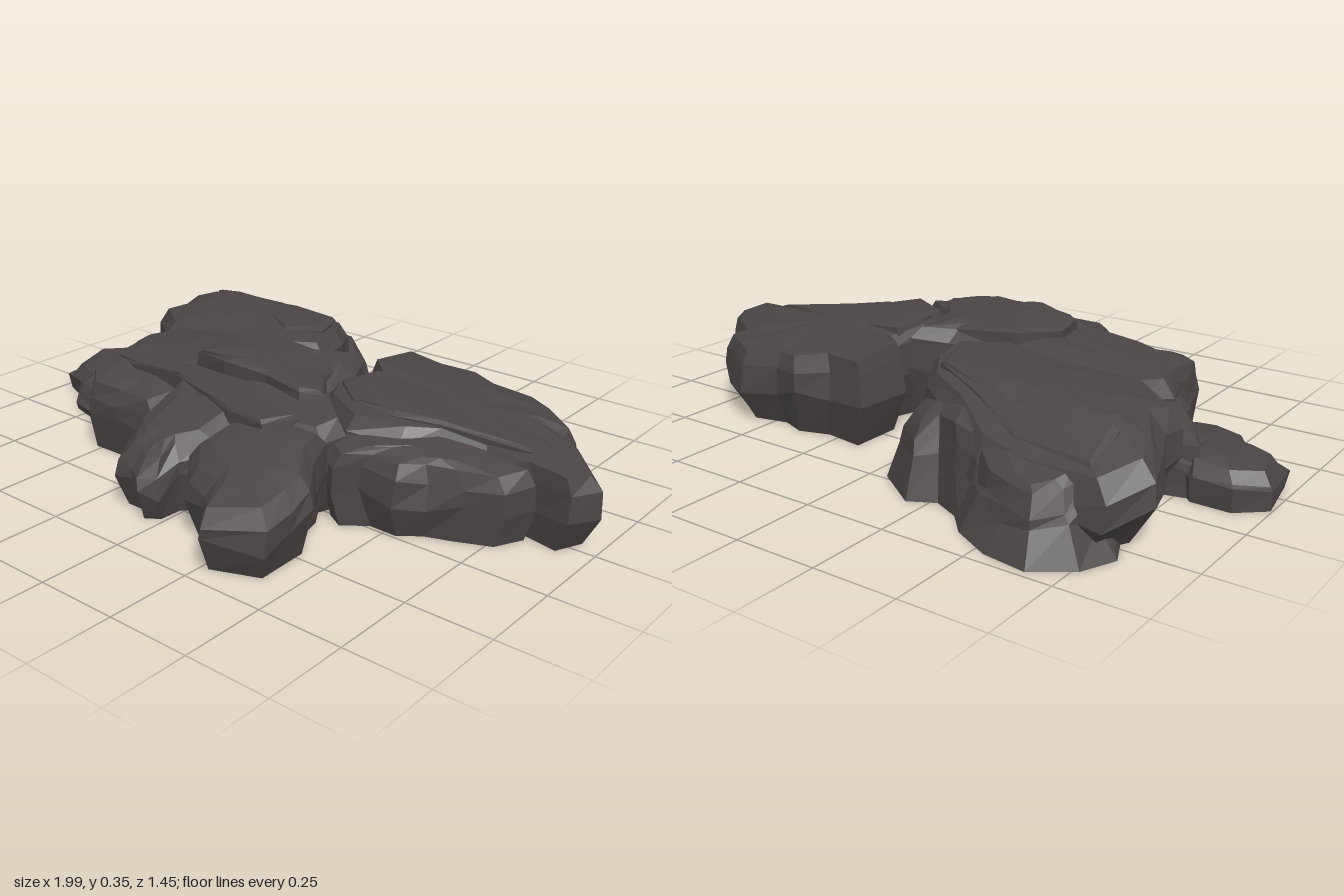
import * as THREE from 'three';

// Small repeatable wobble in the range -1..1
const wobble = (a, b) => {
  const s = Math.sin(a * 127.1 + b * 311.7) * 43758.5453;
  return (s - Math.floor(s)) * 2 - 1;
};

// Rocks: outline is a list of x,z points; each plane is a top y = h + gx*x + gz*z (the lowest one wins).
// foot insets the base (negative flares it), bevel insets the top rim, thick makes a thin layer.
const rocks = {
  backLeftSlab: {
    outline: [[-0.8, -0.61], [-0.87, -0.49], [-0.85, -0.41], [-0.77, -0.25], [-0.79, -0.18], [-0.62, -0.04],
      [-0.4, -0.06], [-0.15, -0.06], [-0.02, -0.14], [-0.04, -0.27], [-0.1, -0.39], [-0.25, -0.48],
      [-0.41, -0.59], [-0.6, -0.62]],
    planes: [[0.316, 0.04, 0], [0.475, 0, 0.45], [0.45, 0.24, 0]], foot: 0.09,
  },
  backLowRock: {
    outline: [[-0.76, -0.56], [-0.72, -0.635], [-0.64, -0.685], [-0.55, -0.665], [-0.46, -0.63], [-0.4, -0.58],
      [-0.45, -0.42], [-0.7, -0.42]],
    planes: [[0.46, 0, 0.45], [0.24, 0, 0]], foot: -0.05, bevel: 0.03,
  },
  backInnerRock: {
    outline: [[-0.4, -0.57], [-0.34, -0.56], [-0.25, -0.51], [-0.19, -0.545], [-0.08, -0.46], [-0.07, -0.36],
      [-0.03, -0.25], [0.05, -0.14], [-0.1, -0.1], [-0.35, -0.3]],
    planes: [[0.255, -0.25, 0.18], [0.475, 0, 0.45]], foot: -0.04, bevel: 0.04,
  },
  rightSlab: {
    outline: [[0.12, -0.39], [0.25, -0.38], [0.36, -0.42], [0.45, -0.395], [0.58, -0.42], [0.68, -0.36],
      [0.79, -0.28], [0.77, -0.23], [0.89, -0.14], [0.99, -0.03], [0.95, 0.06], [0.84, 0.04], [0.7, 0.06],
      [0.56, 0.1], [0.48, 0.17], [0.34, 0.22], [0.2, 0.14], [0.14, 0.02], [0.18, -0.14], [0.11, -0.21]],
    planes: [[0.315, -0.1, 0.07]], foot: 0.05, bevel: 0.035,
  },
  rightLedge: {
    outline: [[0.24, 0.12], [0.3, 0.27], [0.36, 0.31], [0.43, 0.26], [0.54, 0.27], [0.62, 0.21], [0.7, 0.17],
      [0.8, 0.12], [0.84, 0.03], [0.6, -0.02], [0.4, 0]],
    planes: [[0.29, -0.09, -0.1]], foot: 0.03, bevel: 0.03,
  },
  centreSlab: {
    outline: [[-0.66, 0.02], [-0.6, -0.08], [-0.4, -0.14], [-0.18, -0.1], [0.02, -0.12], [0.13, -0.16],
      [0.17, -0.06], [0.17, 0.07], [0.28, 0.16], [0.37, 0.23], [0.34, 0.31], [0.18, 0.36], [0.05, 0.34],
      [-0.05, 0.27], [-0.2, 0.23], [-0.38, 0.22], [-0.52, 0.17], [-0.64, 0.1]],
    planes: [[0.315, 0.015, -0.12], [0.325, 0.1, -0.06]], foot: 0.06,
  },
  frontLeftBlock: {
    outline: [[-0.62, 0.05], [-0.62, 0.18], [-0.6, 0.3], [-0.53, 0.375], [-0.4, 0.375], [-0.26, 0.37],
      [-0.23, 0.22], [-0.3, 0.1], [-0.5, 0.05]],
    planes: [[0.285, 0, -0.18]], foot: 0.02, bevel: 0.025,
  },
  frontMiddleRock: {
    outline: [[-0.24, 0.24], [-0.25, 0.45], [-0.2, 0.53], [-0.17, 0.59], [-0.1, 0.595], [-0.05, 0.63], [0, 0.6],
      [0.015, 0.52], [0.1, 0.43], [0.1, 0.28], [-0.06, 0.22]],
    planes: [[0.37, 0, -0.32]], foot: 0.03,
  },
  frontRightRock: {
    outline: [[0.02, 0.5], [0.07, 0.55], [0.1, 0.6], [0.2, 0.63], [0.28, 0.728], [0.44, 0.66], [0.445, 0.56],
      [0.445, 0.47], [0.37, 0.36], [0.34, 0.28], [0.15, 0.28], [0.05, 0.36]],
    planes: [[0.35, 0, -0.24]], foot: 0.04,
  },
  leftLowRock: {
    outline: [[-1, -0.09], [-0.92, -0.16], [-0.8, -0.16], [-0.74, -0.1], [-0.6, -0.08], [-0.56, 0.1],
      [-0.63, 0.21], [-0.7, 0.225], [-0.8, 0.2], [-0.85, 0.13], [-0.97, 0.08]],
    planes: [[0.15, 0.05, -0.1]], foot: 0.005, bevel: 0.04,
  },
  leftUpperRock: {
    outline: [[-0.82, -0.13], [-0.78, -0.03], [-0.7, 0.03], [-0.68, 0.1], [-0.55, 0.15], [-0.5, -0.05],
      [-0.66, -0.17]],
    planes: [[0.4, 0.32, 0]], foot: 0, bevel: 0.03,
  },
  // Thin weathered layers lying on the slabs
  backLeftLayer: {
    outline: [[-0.75, -0.57], [-0.5, -0.54], [-0.3, -0.43], [-0.13, -0.35], [-0.1, -0.24], [-0.2, -0.17],
      [-0.32, -0.25], [-0.55, -0.3], [-0.74, -0.43]],
    planes: [[0.325, 0.04, 0], [0.484, 0, 0.45], [0.459, 0.24, 0]], thick: 0.03,
  },
  centreLayer: {
    outline: [[-0.27, 0.06], [-0.2, -0.08], [0.02, -0.09], [0.12, -0.1], [0.15, 0.05], [0.24, 0.18], [0.18, 0.22],
      [0.04, 0.19], [-0.1, 0.22], [-0.25, 0.18]],
    planes: [[0.328, -0.11, 0.06], [0.378, 0.18, 0]], thick: 0.05,
  },
  rightLayer: {
    outline: [[0.2, -0.12], [0.45, -0.1], [0.68, -0.03], [0.8, 0], [0.55, 0.06], [0.42, 0.12], [0.3, 0.13],
      [0.19, 0.04]],
    planes: [[0.325, -0.1, 0.07]], thick: 0.03,
  },
  frontLayer: {
    outline: [[-0.6, 0.09], [-0.57, 0.21], [-0.45, 0.25], [-0.27, 0.26], [-0.1, 0.32], [0.05, 0.37], [0.2, 0.38],
      [0.25, 0.3], [0, 0.24], [-0.3, 0.15]],
    planes: [[0.285, 0, 0], [0.3, 0.08, 0]], thick: 0.05,
  },
};

const topAt = (rock, x, z) => Math.min(...rock.planes.map(([h, gx, gz]) => h + gx * x + gz * z));

// Outline moved towards its centre, counter-clockwise from above
function insetOutline({ outline }, inset) {
  const pts = outline.map(([x, z]) => new THREE.Vector2(x, z));
  if (THREE.ShapeUtils.area(pts) > 0) pts.reverse();
  const centre = pts.reduce((s, p) => s.add(p), new THREE.Vector2()).divideScalar(pts.length);
  return { centre, pts: pts.map(p => p.clone().lerp(centre, Math.min(0.45, inset / p.distanceTo(centre)))) };
}

function inside(pts, x, z) {
  let hit = false;
  pts.forEach((a, i) => {
    const b = pts[(i + 1) % pts.length];
    if (a.y > z !== b.y > z && x < a.x + (b.x - a.x) * (z - a.y) / (b.y - a.y)) hit = !hit;
  });
  return hit;
}

// Cores used to leave out faces buried in a neighbouring rock, so the outcrop is one hollow shell
const cores = Object.values(rocks).filter(rock => !rock.thick)
  .map(rock => ({ rock, pts: insetOutline(rock, Math.max(rock.foot, 0.04)).pts }));
const buried = (v, self) => cores.some(({ rock, pts }) =>
  rock !== self && v.y < topAt(rock, v.x, v.z) - 0.025 && inside(pts, v.x, v.z));

// Adds a triangle, splitting it where it is partly buried
function addFace(corners, rock, a, b, c, depth = 3) {
  const hidden = [a, b, c].filter(v => buried(v, rock)).length;
  if (hidden === 3) return;
  if (hidden === 0 || depth === 0) {
    corners.push(a, b, c);
    return;
  }
  const [ab, bc, ca] = [[a, b], [b, c], [c, a]].map(([p, q]) => p.clone().lerp(q, 0.5));
  for (const face of [[a, ab, ca], [ab, b, bc], [ca, bc, c], [ab, bc, ca]]) addFace(corners, rock, ...face, depth - 1);
}

function rockGeometry(rock) {
  const { foot, bevel = 0.045, thick } = rock;
  const seed = rock.planes[0][0];
  const dome = thick ? 0.004 : 0.01;

  // Each ring: inset towards the centre, then height as a function of the top
  const layers = thick
    ? [[0, t => t - thick], [0.005, t => t - 0.008], [0.025, t => t]]
    : [[foot, () => 0], [0, t => t * 0.5], [0.008, t => t - 0.05], [bevel, t => t - 0.008]];
  const rings = layers.map(([inset, height], k) => insetOutline(rock, inset).pts.map((p, i) => {
    const rough = k === 0 ? 0 : 0.007;
    const lift = rough * (thick ? 0.3 : k === 1 ? 4 : 1);
    return new THREE.Vector3(
      p.x + wobble(i, k + seed) * rough,
      height(topAt(rock, p.x, p.y)) + wobble(i + 9, k + seed) * lift,
      p.y + wobble(i + 5, k + seed) * rough);
  }));
  const { centre, pts } = insetOutline(rock, 0);
  rings.push(pts.map((p, i) => {
    const q = p.clone().lerp(centre, 0.5 + 0.12 * wobble(i, seed));
    return new THREE.Vector3(q.x, topAt(rock, q.x, q.y) + dome * (0.7 + 0.5 * wobble(i, 3)), q.y);
  }));
  const peak = new THREE.Vector3(centre.x, topAt(rock, centre.x, centre.y) + dome, centre.y);

  const corners = [];
  for (let i = 0; i < pts.length; i++) {
    const j = (i + 1) % pts.length;
    for (let k = 0; k < rings.length - 1; k++) {
      const [a, b, c, d] = [rings[k][i], rings[k][j], rings[k + 1][j], rings[k + 1][i]];
      addFace(corners, rock, a, b, c);
      addFace(corners, rock, a, c, d);
    }
    addFace(corners, rock, rings.at(-1)[i], rings.at(-1)[j], peak);
  }
  const geometry = new THREE.BufferGeometry().setFromPoints(corners);
  geometry.computeVertexNormals();
  return geometry;
}

export function createModel() {
  const stone = new THREE.MeshStandardMaterial({ color: 0x4b4545, side: THREE.DoubleSide, flatShading: true });
  stone.name = 'dark stone';
  const group = new THREE.Group();
  group.name = 'rockOutcrop';
  for (const [name, rock] of Object.entries(rocks)) {
    const mesh = new THREE.Mesh(rockGeometry(rock), stone);
    mesh.name = name;
    group.add(mesh);
  }
  return group;
}
